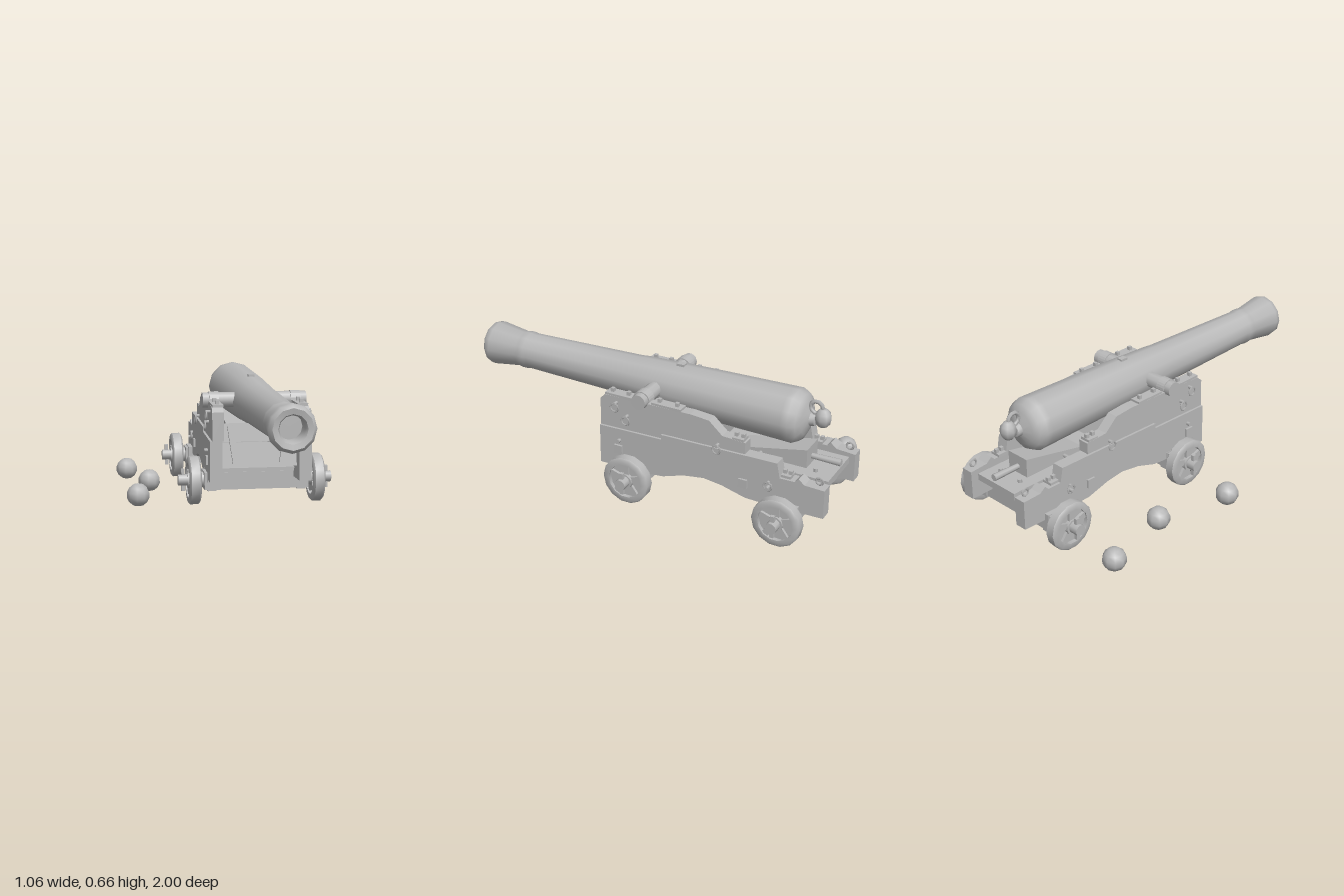
import * as THREE from 'three';
import { toCreasedNormals } from 'three/addons/utils/BufferGeometryUtils.js';

const CX = 0.13; // centre line of the gun
const gunmetal = new THREE.MeshStandardMaterial({ color: 0xb8b8b8 });
gunmetal.name = 'gunmetal';

function add(parent, name, geo, x = 0, y = 0, z = 0) {
  const mesh = new THREE.Mesh(geo, gunmetal);
  mesh.name = name;
  mesh.position.set(x, y, z);
  parent.add(mesh);
  return mesh;
}
const box = (w, h, d) => new THREE.BoxGeometry(w, h, d);
const rod = (r, len, sides = 8) => new THREE.CylinderGeometry(r, r, len, sides).rotateZ(Math.PI / 2);
const lathe = (pts, sides) => new THREE.LatheGeometry(pts.map(p => new THREE.Vector2(...p)), sides);

// Centre offset of the side cheeks, which close in towards the rear
const cheekX = z => 0.225 + 0.035 * (z - 0.19) / 1.19;

// Side plank from a (z, y) outline, sheared to follow the cheek line
function plank(outline, thick, side, shift) {
  const shape = new THREE.Shape(outline.map(p => new THREE.Vector2(...p)));
  const geo = new THREE.ExtrudeGeometry(shape, { depth: thick, bevelEnabled: false });
  geo.translate(0, 0, -thick / 2).rotateY(-Math.PI / 2);
  const pos = geo.attributes.position;
  for (let i = 0; i < pos.count; i++) {
    pos.setX(i, pos.getX(i) + side * (cheekX(pos.getZ(i)) + shift));
  }
  geo.computeVertexNormals();
  return geo;
}

function buildBarrel() {
  const g = new THREE.Group();
  g.name = 'barrel';
  const profile = [[0, -0.86], [0.032, -0.85], [0.035, -0.825], [0.085, -0.808], [0.118, -0.79],
    [0.136, -0.755], [0.135, -0.72], [0.128, -0.4], [0.121, -0.12], [0.118, -0.08], [0.112, 0.08], [0.108, 0.12],
    [0.093, 0.74], [0.097, 0.76], [0.097, 0.79], [0.093, 0.81], [0.114, 0.96], [0.11, 0.985], [0.095, 1],
    [0.068, 0.995], [0.06, 0.975], [0.06, 0.9], [0, 0.9]];
  add(g, 'barrelTube', toCreasedNormals(lathe(profile, 12).rotateX(Math.PI / 2), 0.9), 0, 0.532, 0);
  add(g, 'trunnions', rod(0.04, 0.54, 10), 0, 0.542, -0.035);
  add(g, 'ventPatch', box(0.03, 0.012, 0.04), 0, 0.655, -0.13);
  add(g, 'breechKnob', new THREE.SphereGeometry(0.042, 8, 6).scale(1, 1.2, 1), 0, 0.55, -0.885);
  const loop = add(g, 'breechLoop', new THREE.TorusGeometry(0.032, 0.011, 5, 10), 0, 0.597, -0.85);
  loop.rotation.y = Math.PI / 2;
  return g;
}

function buildWheel() {
  const g = new THREE.Group();
  g.name = 'wheel';
  const rim = lathe([[0.09, -0.03], [0.115, -0.03], [0.125, -0.022], [0.125, 0.022], [0.115, 0.03],
    [0.09, 0.03], [0.09, -0.03]], 14).rotateZ(Math.PI / 2);
  add(g, 'wheelRim', toCreasedNormals(rim, 0.8));
  add(g, 'wheelWeb', rod(0.095, 0.018, 14));
  add(g, 'wheelHub', rod(0.04, 0.064, 10));
  for (let i = 0; i < 5; i++) {
    const a = i * Math.PI * 2 / 5;
    const spoke = add(g, 'wheelSpoke', box(0.046, 0.07, 0.034), 0, 0.065 * Math.cos(a), 0.065 * Math.sin(a));
    spoke.rotation.x = a;
  }
  return g;
}

function buildAxle(z) {
  const g = new THREE.Group();
  g.name = 'axle';
  add(g, 'axleBeam', box(0.54, 0.09, 0.13), 0, 0.135, z);
  add(g, 'axleRod', rod(0.029, 0.8, 10), 0, 0.135, z);
  for (const s of [-1, 1]) {
    add(g, 'axleCollar', rod(0.04, 0.05, 10), s * 0.277, 0.135, z);
    const wheel = buildWheel();
    wheel.position.set(s * 0.32, 0.133, z);
    g.add(wheel);
    add(g, 'linchpin', box(0.018, 0.115, 0.02), s * 0.375, 0.135, z);
    add(g, 'axleStrap', box(0.045, 0.1, 0.14), s * 0.232, 0.135, z);
  }
  return g;
}

// Side cheek with its iron fittings
function buildCheek(s) {
  const g = new THREE.Group();
  g.name = s > 0 ? 'leftCheek' : 'rightCheek';
  const lower = [[0.19, 0.15], [0.19, 0.36], [-0.15, 0.36], [-0.15, 0.386], [-0.76, 0.386], [-0.775, 0.31],
    [-0.85, 0.31], [-0.87, 0.33], [-0.9, 0.305], [-1, 0.3], [-1, 0.15], [-0.7, 0.15], [-0.6, 0.155],
    [-0.48, 0.19], [-0.38, 0.205], [-0.27, 0.19], [-0.16, 0.155], [-0.1, 0.15]].reverse();
  const upper = [[0.19, 0.36], [-0.15, 0.36], [-0.15, 0.386], [-0.59, 0.386], [-0.59, 0.445], [-0.47, 0.455],
    [-0.4, 0.52], [-0.3, 0.53], [0.16, 0.53], [0.19, 0.505]];
  add(g, 'lowerCheek', plank(lower, 0.064, s, 0.003));
  add(g, 'upperCheek', plank(upper, 0.058, s, -0.006));

  // Strap over the trunnion and plates along the top
  const arch = new THREE.Shape();
  arch.absarc(-0.035, 0.54, 0.046, 0, Math.PI, false);
  arch.absarc(-0.035, 0.54, 0.036, Math.PI, 0, true);
  const cap = new THREE.ExtrudeGeometry(arch, { depth: 0.05, bevelEnabled: false, curveSegments: 6 });
  cap.translate(0, 0, -0.025).rotateY(-Math.PI / 2);
  add(g, 'trunnionStrap', cap, s * 0.212);
  for (const [z, y, len] of [[0.09, 0.534, 0.15], [-0.17, 0.534, 0.16], [-0.55, 0.452, 0.06], [-0.8, 0.316, 0.05]]) {
    const x = s * (cheekX(z) - 0.006);
    add(g, 'topPlate', box(0.056, 0.014, len), x, y, z);
    for (const d of [-0.3, 0.3]) add(g, 'plateBolt', box(0.018, 0.028, 0.018), x, y + 0.012, z + d * len);
  }

  // Square nuts and bolts on the outer face
  for (const [z, y] of [[0.085, 0.25], [-0.59, 0.235]]) {
    add(g, 'boltPlate', box(0.012, 0.045, 0.045), s * (cheekX(z) + 0.04), y, z);
  }
  add(g, 'throughBolt', rod(0.01, 0.03, 6), s * (cheekX(-0.72) + 0.045), 0.25, -0.72);

  // Eye bolts with hanging rings
  for (const [z, y] of [[0.04, 0.42], [0.1, 0.48], [-0.45, 0.385], [-0.72, 0.255]]) {
    const x = s * (cheekX(z) + 0.033);
    add(g, 'eyeBolt', rod(0.009, 0.03, 6), x, y + 0.02, z);
    const ring = add(g, 'hangingRing', new THREE.TorusGeometry(0.022, 0.005, 4, 8), x + s * 0.012, y, z);
    ring.rotation.y = Math.PI / 2;
  }
  const eye = add(g, 'rearEye', new THREE.TorusGeometry(0.018, 0.006, 4, 8), s * cheekX(-0.96), 0.325, -0.96);
  eye.rotation.y = Math.PI / 2;
  return g;
}

function buildBed() {
  const g = new THREE.Group();
  g.name = 'bed';
  // Cross members at the front, each stepped back above the other
  const lowerBar = add(g, 'lowerTransom', box(0.4, 0.125, 0.1), 0, 0.272, 0.075);
  lowerBar.rotation.x = -0.15;
  const upperBar = add(g, 'upperTransom', box(0.39, 0.095, 0.09), 0, 0.383, 0.055);
  upperBar.rotation.x = -0.15;
  add(g, 'transomFoot', box(0.38, 0.02, 0.08), 0, 0.195, 0.05);
  for (const s of [-1, 1]) {
    const strut = add(g, 'frontStrut', box(0.034, 0.19, 0.014), s * 0.132, 0.332, 0.128);
    strut.rotation.set(-0.15, 0, -s * 0.13);
    add(g, 'bedBolt', rod(0.012, 0.02, 6), s * 0.07, 0.305, -0.89).rotation.z = Math.PI / 2;
  }
  // Stool plate, wedge and its handle
  add(g, 'bedPlate', box(0.265, 0.035, 0.62), 0, 0.28, -0.67);
  add(g, 'rearBolster', box(0.36, 0.09, 0.13), 0, 0.22, -0.81);
  const wedge = new THREE.Shape([[-0.84, 0.297], [-0.48, 0.297], [-0.48, 0.32], [-0.84, 0.395]]
    .map(p => new THREE.Vector2(...p)));
  const wedgeGeo = new THREE.ExtrudeGeometry(wedge, { depth: 0.13, bevelEnabled: false });
  add(g, 'wedge', wedgeGeo.translate(0, 0, -0.065).rotateY(-Math.PI / 2));
  add(g, 'wedgeHandle', new THREE.CylinderGeometry(0.018, 0.014, 0.16, 8).rotateX(-Math.PI / 2), 0, 0.335, -0.91);
  add(g, 'tieRod', rod(0.01, 0.47, 6), 0, 0.32, -0.6);
  add(g, 'frontTieRod', rod(0.01, 0.55, 6), 0, 0.3, 0.08);
  return g;
}

export function createModel() {
  const model = new THREE.Group();
  model.name = 'cannon';
  const gun = new THREE.Group();
  gun.name = 'gunAndCarriage';
  gun.position.x = CX;
  gun.add(buildBarrel(), buildBed(), buildAxle(0), buildAxle(-0.81), buildCheek(1), buildCheek(-1));
  model.add(gun);

  // Loose shot beside the carriage
  for (const [x, z] of [[-0.475, -0.79], [-0.382, -0.4], [-0.475, 0]]) {
    add(model, 'cannonball', new THREE.SphereGeometry(0.06, 9, 7), x, 0.064, z);
  }
  return model;
}
